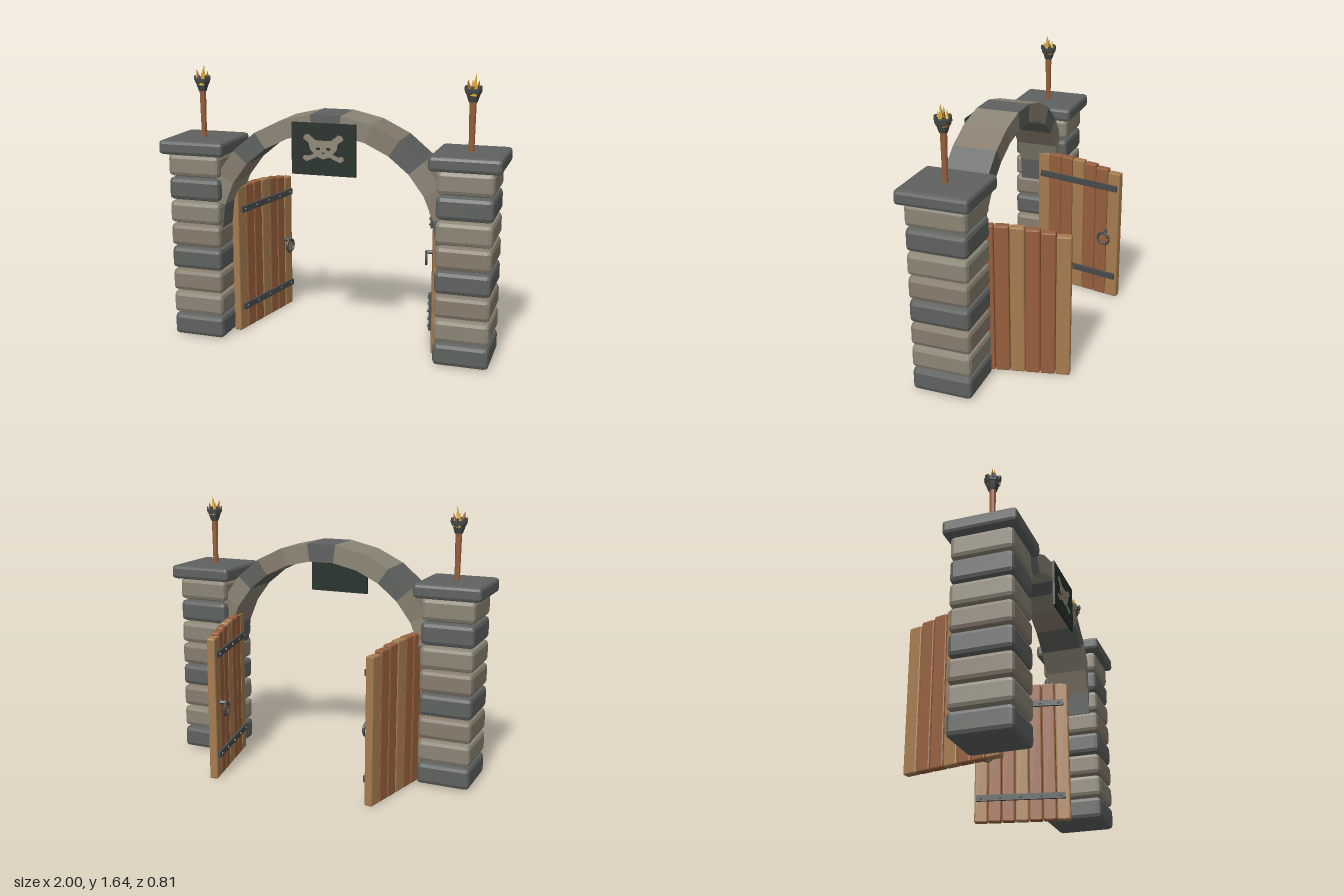
import * as THREE from 'three';
import { RoundedBoxGeometry } from 'three/addons/geometries/RoundedBoxGeometry.js';

function material(name, color) {
  const m = new THREE.MeshStandardMaterial({ color, flatShading: true });
  m.name = name;
  return m;
}

function add(parent, name, geometry, mat, x = 0, y = 0, z = 0) {
  const mesh = new THREE.Mesh(geometry, mat);
  mesh.name = name;
  mesh.position.set(x, y, z);
  parent.add(mesh);
  return mesh;
}

export function createModel() {
  const slate = material('slateStone', 0x5e625f);
  const stone = material('paleStone', 0x8b8575);
  const warm = material('warmStone', 0x877c6d);
  const brown = material('brownWood', 0x965f3c);
  const tan = material('tanWood', 0xa67c4e);
  const iron = material('iron', 0x474b4a);
  const board = material('signBoard', 0x28322c);
  const bone = material('signBone', 0x8f8877);
  const yellow = material('flameYellow', 0xd8ad38);
  const orange = material('flameOrange', 0xa8642e);

  const model = new THREE.Group();
  model.name = 'stoneGate';
  const Z = 0.195; // middle of the wall

  // Pillar: eight chamfered courses and a capstone
  function pillar(side) {
    const g = new THREE.Group();
    g.name = side > 0 ? 'leftPillar' : 'rightPillar';
    g.position.set(side * 0.8, 0, Z);
    const courses = [slate, stone, warm, slate, warm, stone, slate, stone];
    courses.forEach((mat, i) =>
      add(g, 'pillarBlock', new RoundedBoxGeometry(0.32, 0.134, 0.355, 1, 0.026), mat, 0, 0.079 + i * 0.1415, 0));
    add(g, 'capstone', new RoundedBoxGeometry(0.4, 0.084, 0.42, 1, 0.02), slate, 0, 1.178, 0);
    return g;
  }

  // Torch: pole, iron cup with a toothed rim, cluster of flames
  function torch(side) {
    const g = new THREE.Group();
    g.name = side > 0 ? 'leftTorch' : 'rightTorch';
    g.position.set(side * 0.8, 1.22, Z + 0.003);
    add(g, 'torchPole', new THREE.CylinderGeometry(0.02, 0.016, 0.28, 8), brown, 0, 0.14, 0);
    add(g, 'torchCup', new THREE.CylinderGeometry(0.043, 0.024, 0.055, 8), iron, 0, 0.298, 0);
    add(g, 'torchRim', new THREE.CylinderGeometry(0.049, 0.046, 0.022, 8), iron, 0, 0.332, 0);
    for (let i = 0; i < 6; i++) {
      const a = (i * Math.PI) / 3;
      const tooth = add(g, 'rimTooth', new THREE.BoxGeometry(0.02, 0.026, 0.01), iron,
        Math.sin(a) * 0.042, 0.346, Math.cos(a) * 0.042);
      tooth.rotation.y = a;
    }
    // x, z, height, lean, material
    const flames = [
      [0.01, 0.005, 0.12, -0.1, yellow], [-0.022, 0.008, 0.09, 0.2, orange],
      [0.022, -0.016, 0.08, -0.2, orange], [-0.006, -0.02, 0.085, 0.05, yellow],
      [0.006, 0.024, 0.075, -0.05, yellow],
    ];
    for (const [x, z, h, lean, mat] of flames) {
      const f = add(g, 'flame', new THREE.ConeGeometry(0.021, h, 5), mat, x, 0.308 + h / 2, z);
      f.rotation.z = lean;
    }
    return g;
  }

  // Open door; local -z runs from the hinge to the free edge
  function door(side) {
    const g = new THREE.Group();
    g.name = side > 0 ? 'leftDoor' : 'rightDoor';
    g.position.set(side * 0.623, 0, 0.19);
    g.rotation.y = side * THREE.MathUtils.degToRad(12);
    const inner = -side;
    const pitch = 0.0865;
    const tops = [0.915, 0.918, 0.918, 0.914, 0.905, 0.892, 0.875];
    tops.forEach((top, i) =>
      add(g, 'doorPlank', new RoundedBoxGeometry(0.05, top - 0.005, pitch - 0.003, 1, 0.008),
        i % 3 ? brown : tan, 0, (top + 0.005) / 2, -(i + 0.5) * pitch));
    for (const y of [0.155, 0.775]) {
      add(g, 'ironStrap', new THREE.BoxGeometry(0.016, 0.038, 0.56), iron, inner * 0.033, y, -0.31);
      for (const u of [0.06, 0.18, 0.31, 0.44, 0.56]) {
        const bolt = add(g, 'strapBolt', new THREE.CylinderGeometry(0.008, 0.01, 0.01, 6), iron, inner * 0.044, y, -u);
        bolt.rotation.z = -inner * Math.PI / 2;
      }
    }
    // Ring handle on its stud
    const ring = add(g, 'ringHandle', new THREE.TorusGeometry(0.04, 0.0085, 6, 16), iron, inner * 0.062, 0.428, -0.52);
    ring.rotation.y = Math.PI / 2;
    const stud = add(g, 'handleStud', new THREE.CylinderGeometry(0.01, 0.014, 0.046, 6), iron, inner * 0.045, 0.466, -0.52);
    stud.rotation.z = -inner * Math.PI / 2;
    return g;
  }

  for (const side of [-1, 1]) model.add(pillar(side), torch(side), door(side));

  // Arch: thirteen wedge stones on an elliptical curve
  const arch = new THREE.Group();
  arch.name = 'arch';
  const step = Math.PI / 13;
  const at = (a, rx, ry) => new THREE.Vector2(Math.sin(a) * rx, 0.7 + Math.cos(a) * ry);
  for (let i = -6; i <= 6; i++) {
    const a = (i - 0.5) * step, b = (i + 0.5) * step;
    const wedge = new THREE.Shape([at(a, 0.64, 0.595), at(b, 0.64, 0.595), at(b, 0.75, 0.705), at(a, 0.75, 0.705)]);
    const geo = new THREE.ExtrudeGeometry(wedge, { depth: 0.26, bevelEnabled: false });
    add(arch, 'archStone', geo, i % 3 === 0 ? slate : i === 2 || i === 5 || i === -4 ? warm : stone, 0, 0, 0.065);
  }
  model.add(arch);

  // Hanging sign with a painted skull and crossed bones
  const sign = new THREE.Group();
  sign.name = 'sign';
  sign.position.set(0, 1.213, 0.353);
  add(sign, 'signPanel', new THREE.BoxGeometry(0.375, 0.295, 0.014), board);
  const half = [
    [0, 0.05], [0.045, 0.052], [0.075, 0.075], [0.085, 0.085], [0.108, 0.08], [0.118, 0.06],
    [0.085, 0.035], [0.078, 0.0], [0.055, -0.025], [0.085, -0.038], [0.112, -0.035],
    [0.122, -0.052], [0.1, -0.07], [0.075, -0.06], [0.035, -0.042], [0, -0.055],
  ];
  const outline = [...half, ...half.slice(1, -1).reverse().map(([x, y]) => [-x, y])];
  const skull = new THREE.Shape(outline.map(([x, y]) => new THREE.Vector2(x, y)));
  for (const x of [-0.03, 0.03]) {
    const eye = new THREE.Path();
    eye.absellipse(x, 0.004, 0.014, 0.009, 0, Math.PI * 2);
    skull.holes.push(eye);
  }
  const nose = new THREE.Path([[0, -0.01], [-0.008, -0.024], [0.008, -0.024]].map(([x, y]) => new THREE.Vector2(x, y)));
  skull.holes.push(nose);
  add(sign, 'skullPainting',
    new THREE.ExtrudeGeometry(skull, { depth: 0.003, bevelEnabled: false, curveSegments: 4 }), bone, 0, 0, 0.007);
  model.add(sign);

  return model;
}
